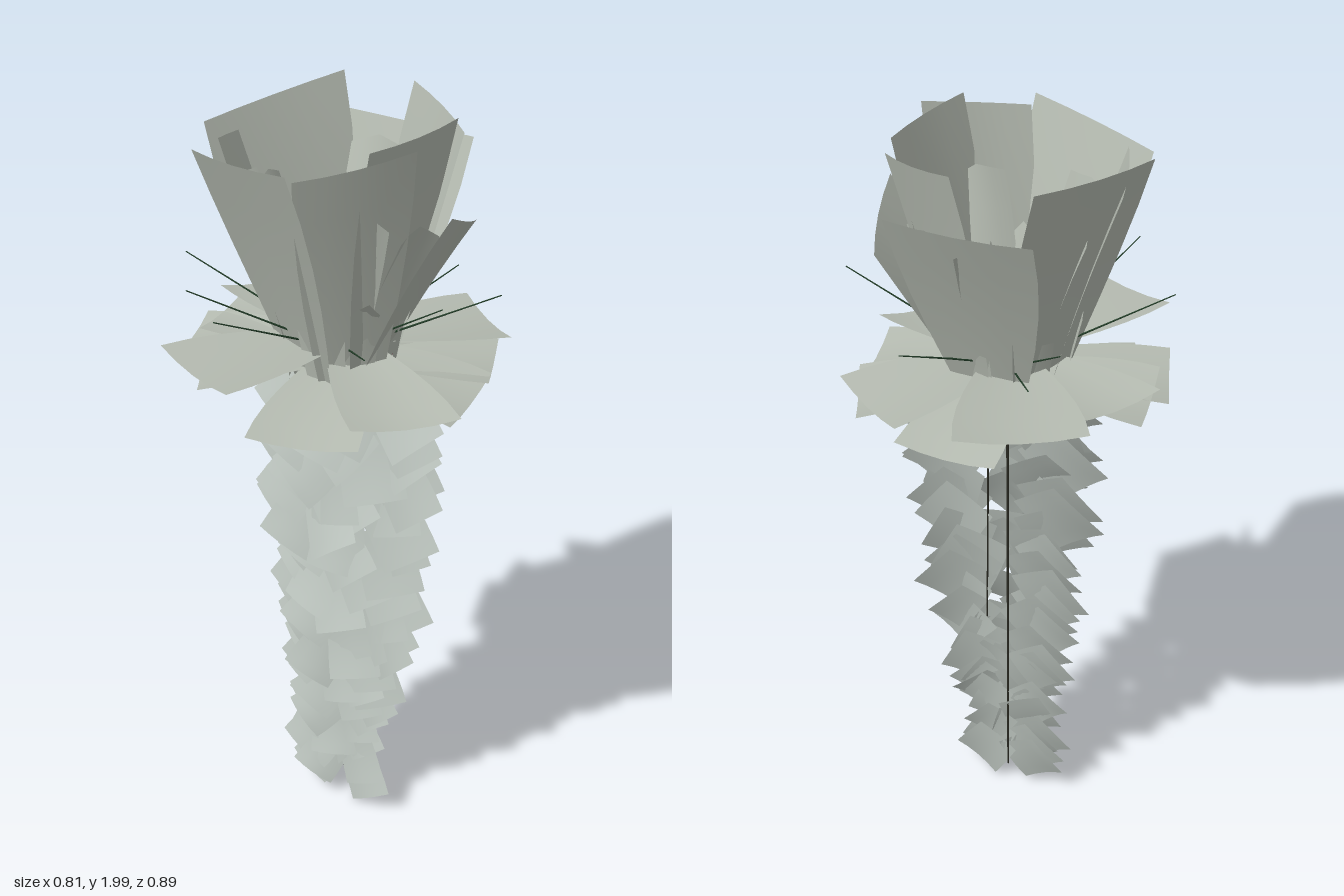
import * as THREE from 'three';

const mat = (color) => new THREE.MeshStandardMaterial({ color, side: THREE.DoubleSide });

// Small seeded generator for natural variation
function seeded(seed) {
  return (lo, hi) => {
    seed = (seed * 16807) % 2147483647;
    return lo + (hi - lo) * (seed / 2147483647);
  };
}

// Thin sheet growing along +y, facing +z: tapered, cupped across and bent along its length
function petalGeometry({ length, base, tip, cup = 0, bend = 0, point = 0, skew = 0 }) {
  const g = new THREE.PlaneGeometry(1, 1, 4, 5);
  const p = g.attributes.position;
  for (let i = 0; i < p.count; i++) {
    const v = p.getX(i) * 2, u = p.getY(i) + 0.5;
    const w = THREE.MathUtils.lerp(base, tip, Math.sin(u * Math.PI / 2)) / 2;
    p.setXYZ(i, v * w,
      length * u + u * (point * (1 - Math.abs(v)) + skew * v),
      bend * u * u - cup * v * v * (0.4 + 0.6 * u));
  }
  g.computeVertexNormals();
  return g;
}

function addPetal(parent, name, material, shape, [x, y, z], [tilt, turn, roll]) {
  const m = new THREE.Mesh(petalGeometry(shape), material);
  m.name = name;
  m.position.set(x, y, z);
  m.rotation.set(tilt, turn, roll, 'YXZ');
  parent.add(m);
}

// Petal standing on a circle of radius r, leaning outward by tilt
const around = (parent, name, material, shape, a, r, y, tilt, roll = 0) =>
  addPetal(parent, name, material, shape, [Math.sin(a) * r, y, Math.cos(a) * r], [tilt, a, roll]);

function addStem(parent, name, material, from, to, r0, r1) {
  const a = new THREE.Vector3(...from), d = new THREE.Vector3(...to).sub(a);
  const m = new THREE.Mesh(new THREE.CylinderGeometry(r1, r0, d.length(), 5), material);
  m.name = name;
  m.position.copy(a).addScaledVector(d, 0.5);
  m.quaternion.setFromUnitVectors(new THREE.Vector3(0, 1, 0), d.normalize());
  parent.add(m);
}

function group(root, name) {
  const g = new THREE.Group();
  g.name = name;
  root.add(g);
  return g;
}

export function createModel() {
  const root = new THREE.Group();
  root.name = 'hangingFlower';
  const rnd = seeded(4711);
  const petalMat = mat(0xb4bab0), tailMat = mat(0xb9c1bb);
  const redMat = mat(0x8a2a3a), greenMat = mat(0x24402a), stemMat = mat(0x2a2a22);

  // Flat trailing tail of overlapping leaves, narrowing downward
  const tail = group(root, 'tail');
  const rows = 24;
  for (let i = 0; i < rows; i++) {
    const t = i / (rows - 1), y = THREE.MathUtils.lerp(1.3, 0.155, t);
    for (const s of [-1, 1]) {
      const size = 0.19 - 0.05 * t + rnd(-0.02, 0.02);
      addPetal(tail, 'tailLeaf', tailMat,
        { length: size, base: size * 0.8, tip: size * 0.9, cup: 0.008, bend: 0.015 },
        [0.03 * (1 - t) + s * (0.105 - 0.085 * t) + rnd(-0.025, 0.025), y + rnd(-0.015, 0.015), rnd(-0.01, 0.01)],
        [-rnd(0.08, 0.4 - 0.2 * t), rnd(-0.2, 0.2), Math.PI + s * rnd(0.35, 0.8)]);
    }
    // Looser leaves lying over the middle
    const size = 0.175 - 0.05 * t;
    addPetal(tail, 'tailLeaf', tailMat,
      { length: size, base: size * 0.8, tip: size, cup: 0.01, bend: 0.015 },
      [0.02 * (1 - t) + (0.08 - 0.06 * t) * rnd(-1, 1), y + 0.01, 0.035 * (1 - t) + 0.005],
      [-rnd(0.12, 0.5 - 0.3 * t), rnd(-0.3, 0.3), Math.PI + rnd(-0.8, 0.8)]);
  }

  // Stems behind the tail
  const stems = group(root, 'stems');
  addStem(stems, 'mainStem', stemMat, [0, 0.07, -0.008], [0, 1.38, -0.012], 0.003, 0.004);
  addStem(stems, 'sideStem', stemMat, [0.06, 0.58, -0.005], [0.05, 1.25, -0.01], 0.002, 0.003);

  // Wide collar of loose petals: angle, length, tip width, base height, tilt, skew
  const collar = group(root, 'collar');
  [
    [-0.41, 0.36, 0.3, 1.41, 1.51, 0.0], [3.5, 0.36, 0.31, 1.41, 1.52, 0.0],
    [0.87, 0.33, 0.26, 1.39, 1.68, 0.02], [2.5, 0.33, 0.27, 1.4, 1.6, 0.0],
    [1.55, 0.3, 0.28, 1.37, 1.72, -0.02], [-1.35, 0.33, 0.26, 1.38, 1.64, 0.0],
    [-2.05, 0.3, 0.26, 1.4, 1.52, 0.02], [-1.0, 0.29, 0.24, 1.35, 1.68, 0.0],
    [0.25, 0.32, 0.27, 1.35, 1.71, 0.0], [2.05, 0.31, 0.24, 1.35, 1.62, 0.02],
    [3.0, 0.29, 0.26, 1.36, 1.74, 0.0], [-1.7, 0.31, 0.27, 1.37, 1.55, -0.03],
  ].forEach(([a, length, tip, y, tilt, skew]) =>
    around(collar, 'collarPetal', petalMat,
      { length, base: 0.13, tip, cup: 0.015, bend: 0.012, skew }, a, 0.06, y, tilt, rnd(-0.08, 0.08)));

  // Tall loose cup: angle, length, lean, roll, tip width, base height
  const cup = group(root, 'cup');
  [
    [3.07, 0.58, 0.3, 0.0, 0.36, 1.31], [2.55, 0.66, 0.18, 0.04, 0.26, 1.31],
    [-2.03, 0.65, 0.2, -0.04, 0.4, 1.31], [-1.35, 0.6, 0.24, 0.05, 0.26, 1.31],
    [-0.35, 0.63, 0.27, 0.04, 0.36, 1.31], [0.75, 0.65, 0.22, 0.05, 0.28, 1.31],
    [1.35, 0.67, 0.15, 0.0, 0.3, 1.31], [1.6, 0.44, 0.42, -0.1, 0.24, 1.36],
  ].forEach(([a, length, lean, roll, tip, y]) =>
    around(cup, 'outerPetal', petalMat,
      { length, base: 0.15, tip, cup: 0.012, bend: 0.03, skew: roll * 0.4 }, a, 0.1, y, lean, roll));

  // Mid-height petals inside the cup
  [
    [3.4, 0.5, 0.3, 0.16], [2.3, 0.47, 0.26, 0.12], [-1.6, 0.45, 0.22, 0.14],
    [-0.6, 0.5, 0.16, 0.18], [0.4, 0.47, 0.2, 0.14], [1.2, 0.42, 0.28, 0.12],
  ].forEach(([a, length, lean, tip]) =>
    around(cup, 'middlePetal', petalMat,
      { length, base: 0.09, tip, cup: -0.015, bend: 0.03, point: 0.03 }, a, 0.07, 1.33, lean, rnd(-0.15, 0.15)));

  // Ragged upright skirt around the cup base
  for (let i = 0; i < 10; i++)
    around(cup, 'basePetal', petalMat,
      { length: rnd(0.18, 0.34), base: 0.08, tip: 0.12, cup: 0.01, bend: 0.015, skew: rnd(-0.02, 0.02) },
      i / 10 * Math.PI * 2 + rnd(0, 0.4), rnd(0.09, 0.15), rnd(1.25, 1.32), rnd(0.02, 0.2), rnd(-0.15, 0.15));

  // Narrow pointed petals near the centre
  for (let i = 0; i < 10; i++)
    around(cup, 'innerPetal', petalMat,
      { length: rnd(0.22, 0.46), base: 0.05, tip: rnd(0.03, 0.08), cup: 0.012, bend: rnd(0.02, 0.08), point: 0.04 },
      i / 10 * Math.PI * 2 + rnd(-0.2, 0.2), rnd(0.005, 0.045), 1.3, rnd(0.05, 0.35), rnd(-0.2, 0.2));

  // Red heart of the flower
  const heart = group(root, 'heart');
  for (let i = 0; i < 9; i++)
    around(heart, 'heartPetal', redMat,
      { length: rnd(0.12, 0.2), base: 0.03, tip: 0.06, cup: 0.008, bend: 0.01 },
      i / 9 * Math.PI * 2, rnd(0.04, 0.1), 1.26, rnd(0.1, 0.45), rnd(-0.2, 0.2));

  // Thin spines fanning out above the collar
  const spines = group(root, 'spines');
  [
    [0.4, -0.04, 1.59], [-0.38, 0.1, 1.58], [-0.18, -0.39, 1.56], [-0.22, -0.29, 1.6], [0.09, -0.31, 1.55],
    [0.17, -0.28, 1.52], [0.23, 0.3, 1.53], [-0.13, 0.36, 1.56], [-0.23, 0.32, 1.6], [0.29, 0.04, 1.56],
  ].forEach(([x, z, y]) =>
    addStem(spines, 'spine', greenMat, [x * 0.15, 1.4, z * 0.15], [x, y, z], 0.003, 0.0015));

  return root;
}
